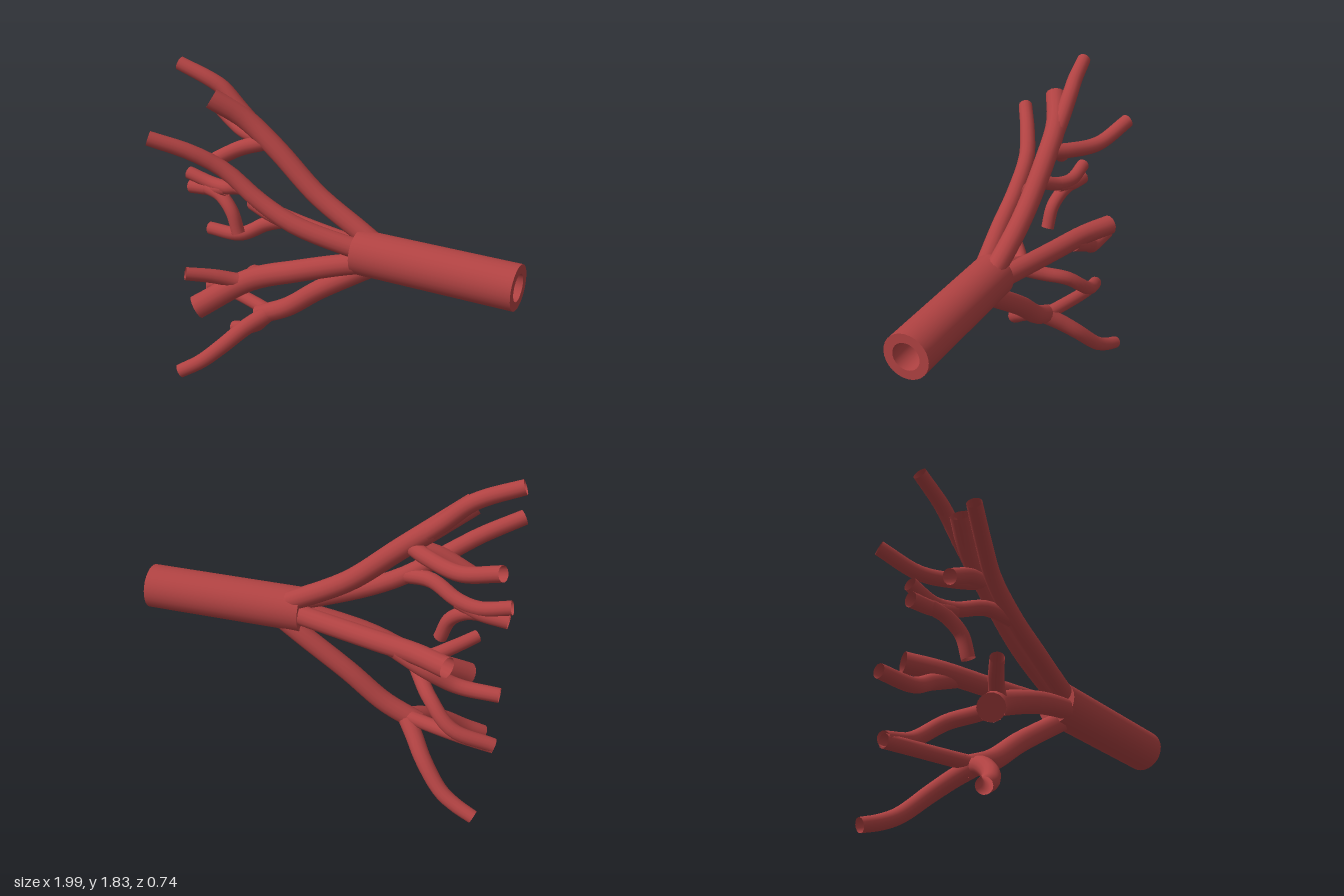
import * as THREE from 'three';

const vessel = new THREE.MeshStandardMaterial({ color: 0xb04242, side: THREE.DoubleSide });
vessel.name = 'vessel red';

// Open tapered tube through a few points: r0 at the root, r1 at the tip
function tube(name, r0, r1, points, capped = false) {
  const curve = new THREE.CatmullRomCurve3(points.map(p => new THREE.Vector3(...p)), false, 'centripetal');
  const steps = 20, sides = 14;
  const geo = new THREE.TubeGeometry(curve, steps, 1, sides, false);
  const pos = geo.attributes.position, v = new THREE.Vector3();
  for (let i = 0; i <= steps; i++) {
    const centre = curve.getPointAt(i / steps);
    const r = r0 + (r1 - r0) * (i / steps);
    for (let j = 0; j <= sides; j++) {
      const k = i * (sides + 1) + j;
      v.fromBufferAttribute(pos, k).sub(centre).multiplyScalar(r).add(centre);
      pos.setXYZ(k, v.x, v.y, v.z);
    }
  }
  const group = new THREE.Group();
  group.name = name;
  const mesh = new THREE.Mesh(geo, vessel);
  mesh.name = name + 'Wall';
  group.add(mesh);
  if (capped) {
    const cap = new THREE.Mesh(new THREE.CircleGeometry(r1, sides), vessel);
    cap.name = name + 'Cap';
    cap.position.copy(curve.getPointAt(1));
    cap.quaternion.setFromUnitVectors(new THREE.Vector3(0, 0, 1), curve.getTangentAt(1));
    group.add(cap);
  }
  return group;
}

export function createModel() {
  const model = new THREE.Group();
  model.name = 'branchingVessel';

  // Thick hollow trunk along x
  const profile = [[0.072, 0.12], [0.12, 0.12], [0.12, 0.12], [0.12, 1], [0.12, 1], [0.072, 1], [0.072, 1], [0.072, 0.12]]
    .map(p => new THREE.Vector2(...p));
  const trunk = new THREE.Mesh(new THREE.LatheGeometry(profile, 28), vessel);
  trunk.name = 'trunk';
  trunk.rotation.z = -Math.PI / 2;
  trunk.position.set(0, 0.934, -0.003);
  model.add(trunk);

  model.add(
    // Top branch with its tip and side twigs
    tube('topBranch', 0.055, 0.056, [[0.25, 0.96, -0.03], [0.1, 1.04, -0.045], [-0.15, 1.185, -0.053], [-0.4, 1.4, -0.057],
      [-0.58, 1.545, -0.04], [-0.74, 1.655, 0.035]]),
    tube('topTip', 0.048, 0.038, [[-0.48, 1.46, -0.055], [-0.62, 1.585, -0.06], [-0.73, 1.69, -0.06], [-0.8, 1.73, -0.05], [-0.98, 1.8, -0.03]]),
    tube('topBackTwig', 0.042, 0.04, [[-0.46, 1.43, -0.06], [-0.56, 1.415, -0.13], [-0.74, 1.41, -0.23], [-0.95, 1.49, -0.32]]),
    tube('topLowerTwig', 0.042, 0.042, [[-0.46, 1.43, -0.05], [-0.6, 1.385, -0.02], [-0.755, 1.3, -0.005]]),

    // Upper front branch and the forked twig behind it
    tube('upperFrontBranch', 0.055, 0.04, [[0.25, 0.95, 0.02], [0.1, 0.98, 0.05], [-0.2, 1.065, 0.11], [-0.4, 1.165, 0.125],
      [-0.6, 1.31, 0.145], [-0.76, 1.405, 0.215], [-0.955, 1.485, 0.32]]),
    tube('upperTwig', 0.042, 0.037, [[-0.38, 1.16, 0.13], [-0.55, 1.19, 0.06], [-0.7, 1.14, -0.01], [-0.82, 1.13, -0.045], [-0.98, 1.165, -0.05]]),
    tube('upperTwigFork', 0.037, 0.04, [[-0.7, 1.13, -0.01], [-0.82, 1.1, -0.04], [-0.97, 1.085, -0.05]]),
    tube('upperTwigHook', 0.038, 0.037, [[-0.85, 1.1, -0.04], [-0.75, 1.08, -0.02], [-0.665, 1.01, 0.005], [-0.62, 0.89, 0.015]]),

    // Middle back branch
    tube('middleBranch', 0.055, 0.056, [[0.25, 0.935, -0.02], [0.1, 0.93, -0.06], [-0.3, 0.925, -0.165], [-0.55, 0.93, -0.24], [-0.725, 0.935, -0.325]]),
    tube('middleTwig', 0.045, 0.038, [[-0.45, 0.915, -0.22], [-0.6, 0.85, -0.245], [-0.76, 0.765, -0.215], [-0.98, 0.755, -0.22]]),

    // Lower front branch with two twigs
    tube('lowerFrontBranch', 0.055, 0.068, [[0.25, 0.91, 0.02], [0.1, 0.88, 0.05], [-0.2, 0.79, 0.1], [-0.5, 0.67, 0.115], [-0.745, 0.515, 0.275]], true),
    tube('lowerFrontTwig', 0.045, 0.036, [[-0.44, 0.68, 0.11], [-0.53, 0.67, 0.14], [-0.65, 0.705, 0.22], [-0.77, 0.74, 0.325]]),
    tube('lowerCrossTwig', 0.042, 0.038, [[-0.47, 0.67, 0.1], [-0.53, 0.635, 0], [-0.61, 0.595, -0.12], [-0.75, 0.48, -0.2], [-0.97, 0.4, -0.165]]),

    // Bottom branch splitting three ways
    tube('bottomBranch', 0.055, 0.055, [[0.25, 0.89, -0.03], [0.1, 0.79, -0.04], [-0.15, 0.62, -0.045], [-0.35, 0.465, -0.045], [-0.54, 0.37, -0.04]]),
    tube('bottomFrontTwig', 0.05, 0.04, [[-0.48, 0.39, -0.03], [-0.56, 0.335, 0.08], [-0.65, 0.245, 0.2], [-0.74, 0.165, 0.275], [-0.85, 0.1, 0.335]]),
    tube('bottomBackTwig', 0.05, 0.037, [[-0.48, 0.39, -0.05], [-0.54, 0.33, -0.12], [-0.61, 0.25, -0.2], [-0.73, 0.125, -0.28], [-0.82, 0.075, -0.31], [-0.92, 0.04, -0.335]]),
    tube('bottomMiddleTwig', 0.04, 0.036, [[-0.45, 0.4, -0.04], [-0.62, 0.405, -0.1], [-0.8, 0.405, -0.15], [-0.97, 0.39, -0.165]])
  );
  return model;
}
